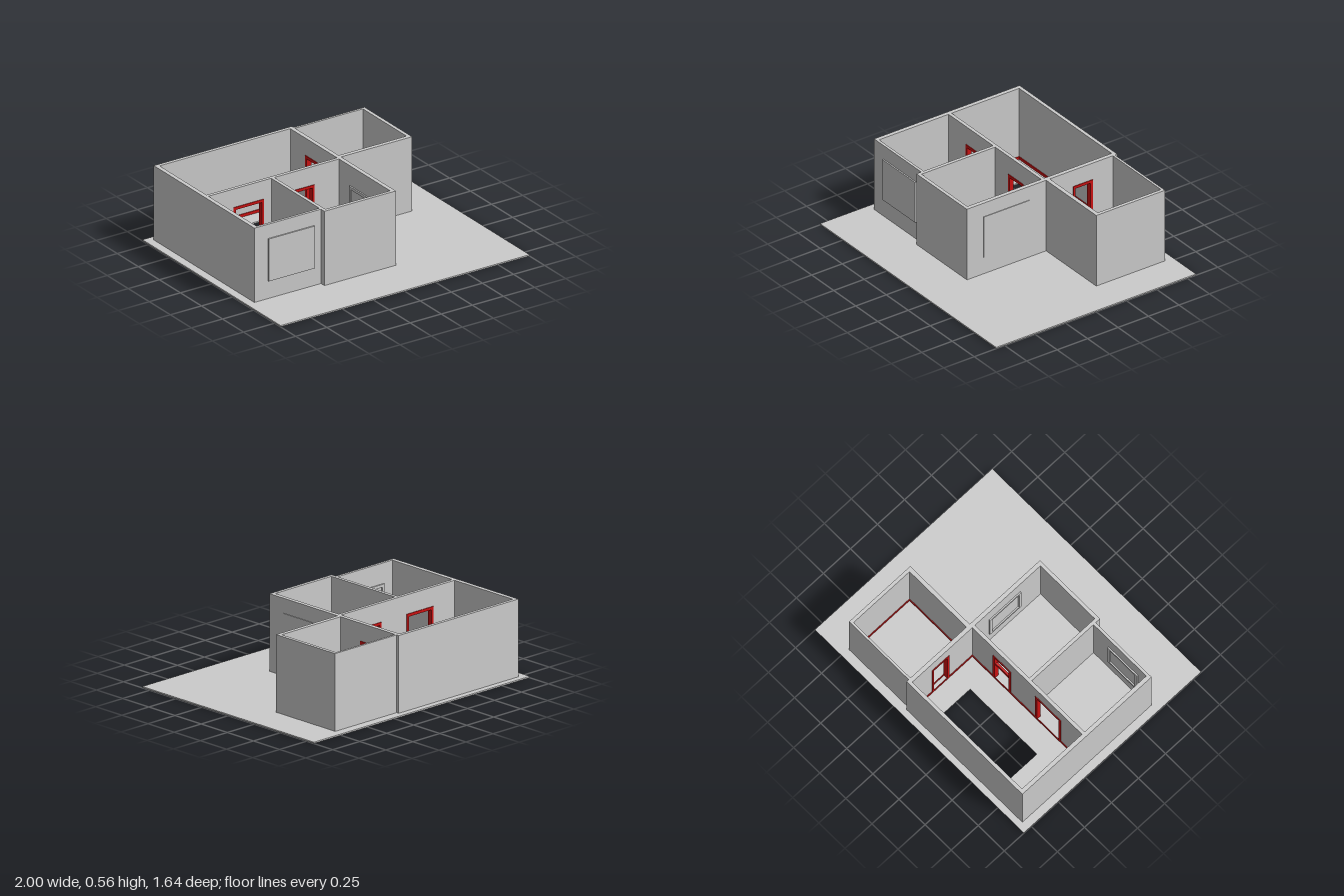
import * as THREE from 'three';

const grey = new THREE.MeshStandardMaterial({ color: 0xcccccc, flatShading: true });
const red = new THREE.MeshStandardMaterial({ color: 0xcc1111, flatShading: true });
const H = 0.555;
const FLOOR = 0.01;

// Rectangle traced into a shape or a hole path
function rect(path, a0, b0, a1, b1) {
  path.moveTo(a0, b0);
  path.lineTo(a1, b0);
  path.lineTo(a1, b1);
  path.lineTo(a0, b1);
  path.closePath();
  return path;
}

// Flat rectangle with optional rectangular hole, extruded along +z
function slab(outer, hole, depth) {
  const shape = rect(new THREE.Shape(), ...outer);
  if (hole) shape.holes.push(rect(new THREE.Path(), ...hole));
  return new THREE.ExtrudeGeometry(shape, { depth, bevelEnabled: false });
}

export function createModel() {
  const model = new THREE.Group();
  const add = (name, geometry, material = grey) => {
    const mesh = new THREE.Mesh(geometry, material);
    mesh.name = name;
    model.add(mesh);
  };

  // Upright slabs running along x (depth in z) or along z (depth in x)
  const alongX = (name, outer, z0, z1, hole, material) =>
    add(name, slab(outer, hole, z1 - z0).translate(0, 0, z0), material);
  const alongZ = (name, outer, x0, x1, hole, material) => {
    const flip = r => r && [-r[2], r[1], -r[0], r[3]];
    add(name, slab(flip(outer), flip(hole), x1 - x0).rotateY(Math.PI / 2).translate(x0, 0, 0), material);
  };

  // Ground plate with a rectangular opening
  add('groundPlate', slab([-1, -0.82, 1, 0.82], [-0.66, 0.37, -0.02, 0.63], FLOOR).rotateX(-Math.PI / 2));

  // Walls of the large back room
  alongX('backWall', [-0.94, 0, 0.17, H], -0.775, -0.75);
  alongZ('rightOuterWall', [-0.75, 0, 0.42, H], -0.94, -0.91);
  const doorC = [-0.71, FLOOR, -0.465, 0.42];
  const doorD = [-0.23, FLOOR, -0.06, 0.42];
  const doorB = [-0.57, FLOOR, -0.41, 0.43];
  alongX('middleWallRight', [-0.91, 0, -0.39, H], -0.195, -0.17, doorC);
  alongX('middleWallLeft', [-0.39, 0, 0.14, H], -0.195, -0.17, doorD);
  alongZ('sideRoomDividingWall', [-0.75, 0, -0.17, H], 0.14, 0.17, doorB);

  // Side room
  alongX('sideRoomBackWall', [0.17, 0, 0.74, H], -0.755, -0.738);
  alongZ('sideRoomOuterWall', [-0.738, 0, -0.19, H], 0.715, 0.74);
  alongX('sideRoomFrontWall', [0.17, 0, 0.715, H], -0.22, -0.19);

  // Two front rooms
  alongX('frontRightRoomWall', [-0.94, 0, -0.405, H], 0.4, 0.42);
  alongZ('frontRoomsDividingWall', [-0.17, 0, 0.46, H], -0.405, -0.38);
  alongX('frontLeftRoomWall', [-0.38, 0, 0.14, H], 0.435, 0.46);
  alongZ('frontLeftRoomOuterWall', [-0.17, 0, 0.46, H], 0.14, 0.17);

  // Red door frames lining each doorway
  const inset = ([a, , b, t]) => [a + 0.018, -0.01, b - 0.018, t - 0.02];
  for (const [name, d] of [['rightRoomDoorFrame', doorC], ['leftRoomDoorFrame', doorD]]) {
    const [a, , b, t] = d;
    const i = inset(d);
    for (const [x0, x1] of [[a, i[0]], [i[2], b]])
      alongX(name + 'Jamb', [x0, FLOOR, x1, t], -0.2, -0.165, null, red);
    alongX(name + 'Head', [i[0], i[3], i[2], t], -0.2, -0.165, null, red);
  }
  alongX('leftRoomDoorRail', [-0.212, 0.24, -0.078, 0.275], -0.19, -0.175, null, red);
  const s = inset(doorB);
  for (const [z0, z1] of [[doorB[0], s[0]], [s[2], doorB[2]]])
    alongZ('sideRoomDoorFrameJamb', [z0, FLOOR, z1, 0.43], 0.135, 0.175, null, red);
  alongZ('sideRoomDoorFrameHead', [s[0], s[3], s[2], 0.43], 0.135, 0.175, null, red);

  // Window panels outside, window frames inside
  alongX('frontWindowPanel', [-0.83, 0.14, -0.46, 0.45], 0.42, 0.43);
  alongX('frontWindowInnerFrame', [-0.83, 0.14, -0.55, 0.41], 0.39, 0.4, [-0.81, 0.16, -0.57, 0.39]);
  alongZ('sideWindowPanel', [-0.05, 0.14, 0.325, 0.45], 0.17, 0.175);
  alongZ('sideWindowInnerFrame', [-0.04, 0.14, 0.25, 0.41], 0.13, 0.14, [-0.02, 0.16, 0.23, 0.39]);

  // Thin red skirting around the back room and side room
  for (const [name, x0, z0, x1, z1] of [
    ['backRoomSkirting', -0.91, -0.75, 0.14, -0.195],
    ['sideRoomSkirting', 0.17, -0.738, 0.715, -0.22],
  ]) {
    const t = 0.005;
    add(name, slab([x0, -z1, x1, -z0], [x0 + t, -z1 + t, x1 - t, -z0 - t], 0.02)
      .rotateX(-Math.PI / 2).translate(0, FLOOR, 0), red);
  }

  return model;
}
